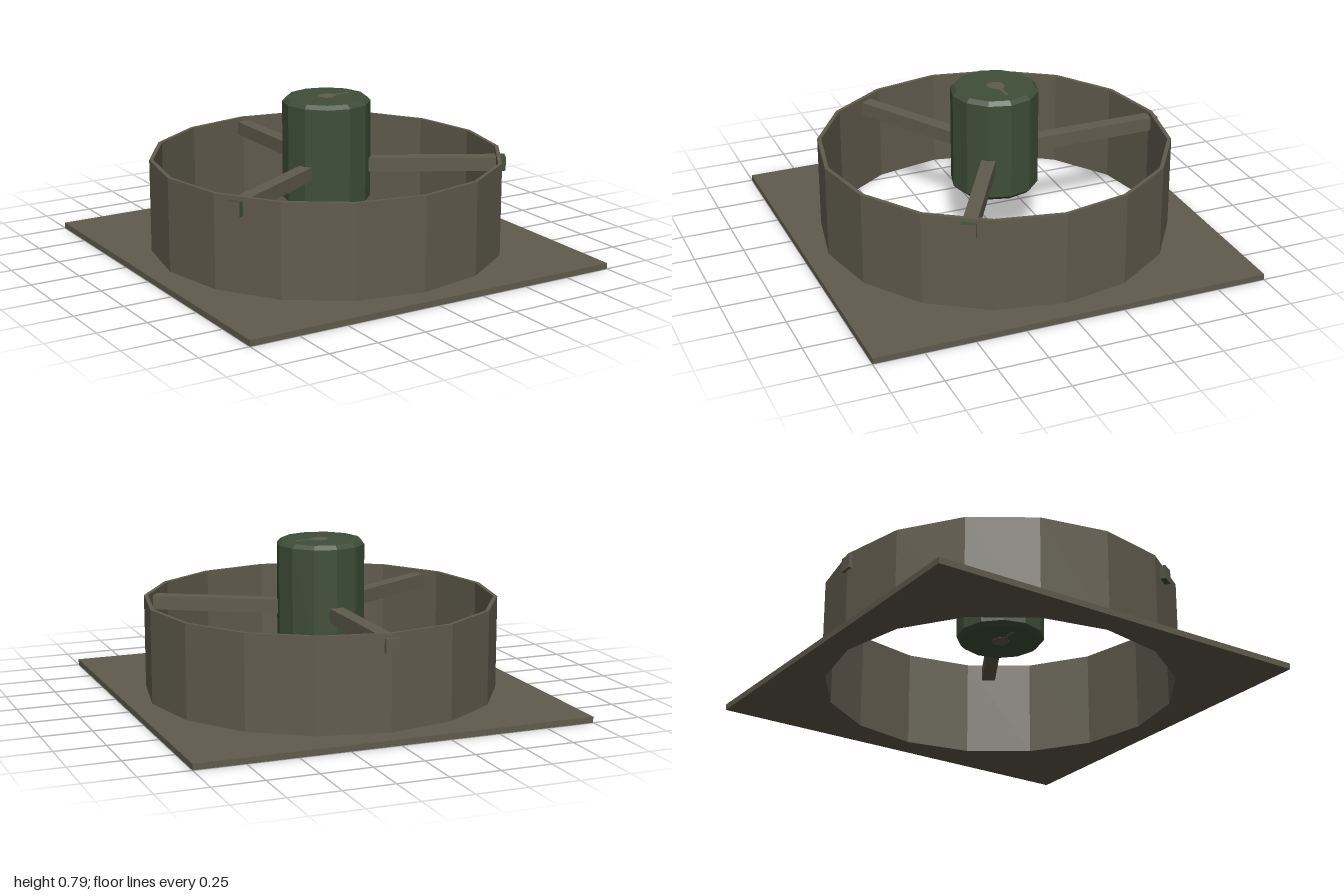
import * as THREE from 'three';

const SIDES = 16;

// Regular polygon outline with a corner on each axis
function polygon(radius, PathType) {
  const pts = [];
  for (let i = 0; i < SIDES; i++) {
    const a = (i / SIDES) * Math.PI * 2;
    pts.push(new THREE.Vector2(Math.cos(a) * radius, Math.sin(a) * radius));
  }
  return new PathType(pts);
}

// Flat outline raised upwards from the ground plane
function raise(shape, depth) {
  return new THREE.ExtrudeGeometry(shape, { depth, bevelEnabled: false }).rotateX(-Math.PI / 2);
}

function flat(geometry) {
  const g = geometry.toNonIndexed();
  g.computeVertexNormals();
  return g;
}

export function createModel() {
  const model = new THREE.Group();
  model.name = 'ductFan';

  const steel = new THREE.MeshStandardMaterial({ color: 0x605b4d });
  steel.name = 'drabSteel';
  const green = new THREE.MeshStandardMaterial({ color: 0x3f4e38 });
  green.name = 'darkGreen';

  const add = (parent, name, geometry, material) => {
    const mesh = new THREE.Mesh(geometry, material);
    mesh.name = name;
    parent.add(mesh);
    return mesh;
  };

  // Square mounting plate with the duct opening
  const square = new THREE.Shape([[-1, -1], [1, -1], [1, 1], [-1, 1]].map(([x, y]) => new THREE.Vector2(x, y)));
  square.holes.push(polygon(0.885, THREE.Path));
  add(model, 'mountingPlate', raise(square, 0.03), steel);

  // Thin-walled sixteen-sided duct
  const wall = polygon(0.885, THREE.Shape);
  wall.holes.push(polygon(0.865, THREE.Path));
  add(model, 'ductRing', raise(wall, 0.5), steel);

  // Chamfered twelve-sided motor
  const profile = [[0, 0.26], [0.2, 0.26], [0.22, 0.28], [0.22, 0.77], [0.2, 0.79], [0, 0.79]]
    .map(([r, y]) => new THREE.Vector2(r, y));
  add(model, 'motor', flat(new THREE.LatheGeometry(profile, 12)), green);

  // Worn patches on the motor's end faces
  const patch = new THREE.Shape();
  patch.moveTo(-0.04, 0.01);
  patch.splineThru([[-0.01, 0.045], [0.04, 0.04], [0.06, 0.02], [0.13, 0.02], [0.13, 0.005],
    [0.06, 0], [0.03, -0.03], [-0.02, -0.035], [-0.04, 0.01]].map(([x, y]) => new THREE.Vector2(x, y)));
  add(model, 'topWornPatch', raise(patch, 0.003), steel).position.y = 0.789;
  const under = add(model, 'bottomWornPatch', raise(patch, 0.003), steel);
  under.position.y = 0.261;
  under.rotation.z = Math.PI;

  // Three support arms; the tips pass through the duct wall
  for (let i = 0; i < 3; i++) {
    const arm = new THREE.Group();
    arm.name = ['backArm', 'rightArm', 'leftArm'][i];
    arm.rotation.y = (i * Math.PI * 2) / 3;
    const bar = new THREE.BoxGeometry(0.07, 0.07, 0.68);
    add(arm, 'armBar', bar, steel).position.set(0, 0.445, -0.53);
    const tip = new THREE.BoxGeometry(0.07, 0.07, 0.03);
    const side = i === 0 ? steel : green;
    add(arm, 'armTip', tip, [side, side, side, side, steel, steel]).position.set(0, 0.445, -0.883);
    model.add(arm);
  }

  return model;
}
